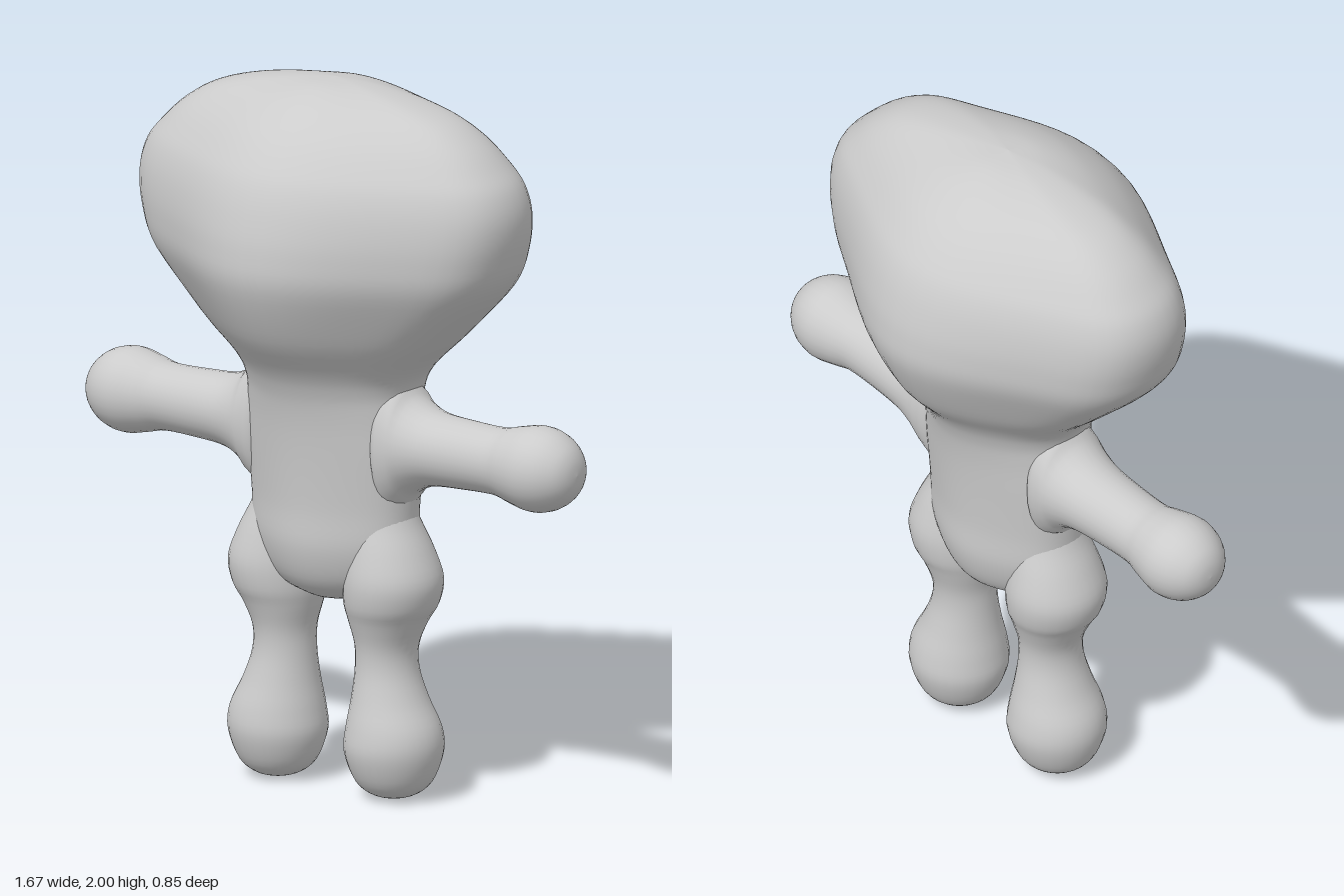
import * as THREE from 'three';

const material = new THREE.MeshStandardMaterial({ color: 0xcccccc });

// Smooth closed loft along +y. Sections: [y, centreX, radiusX, radiusZ].
// pinch(y) draws the diagonals of a section in, giving a bulge with side lobes.
function loft(name, sections, rows, sides, pinch = () => 0) {
  const axis = new THREE.SplineCurve(sections.map(s => new THREE.Vector2(s[0], s[1])));
  const radii = new THREE.SplineCurve(sections.map(s => new THREE.Vector2(s[2], s[3])));
  const pos = [], index = [];
  for (let j = 0; j <= rows; j++) {
    const c = axis.getPoint(j / rows), r = radii.getPoint(j / rows);
    for (let i = 0; i < sides; i++) {
      const t = (i / sides) * Math.PI * 2;
      const squeeze = 1 - pinch(c.x) * Math.sin(2 * t) ** 2;
      pos.push(c.y + Math.max(r.x, 0) * Math.cos(t), c.x, Math.max(r.y, 0) * Math.sin(t) * squeeze);
      if (j < rows) {
        const a = j * sides + i, b = j * sides + (i + 1) % sides;
        index.push(a, a + sides, b, b, a + sides, b + sides);
      }
    }
  }
  const geometry = new THREE.BufferGeometry();
  geometry.setAttribute('position', new THREE.Float32BufferAttribute(pos, 3));
  geometry.setIndex(index);
  geometry.computeVertexNormals();
  const mesh = new THREE.Mesh(geometry, material);
  mesh.name = name;
  return mesh;
}

export function createModel() {
  const model = new THREE.Group();
  model.name = 'blobFigure';

  // Torso flowing into the wide head
  const body = [
    [0.53, 0, 0, 0], [0.55, 0, 0.10, 0.075], [0.60, 0, 0.20, 0.14], [0.70, 0, 0.25, 0.175],
    [0.82, 0, 0.26, 0.178], [0.97, 0, 0.27, 0.19], [1.08, 0, 0.265, 0.205], [1.155, 0, 0.265, 0.225],
    [1.22, 0, 0.30, 0.26], [1.325, 0, 0.41, 0.345], [1.475, 0, 0.555, 0.415], [1.58, 0, 0.603, 0.42],
    [1.68, 0, 0.618, 0.40], [1.76, 0, 0.598, 0.37], [1.82, 0, 0.55, 0.33], [1.88, 0, 0.485, 0.275],
    [1.93, 0, 0.40, 0.21], [1.965, 0, 0.28, 0.15], [1.99, 0, 0.13, 0.08], [2.0, 0, 0, 0],
  ];
  const pinch = y => 0.08 + 0.12 * THREE.MathUtils.smoothstep(y, 1.15, 1.45);
  model.add(loft('torsoAndHead', body, 95, 64, pinch));

  for (const [side, s] of [['left', 1], ['right', -1]]) {
    // Leg: rounded foot, slim ankle, bulging hip
    const leg = [
      [0, 0.20, 0, 0], [0.012, 0.20, 0.06, 0.06], [0.05, 0.20, 0.108, 0.106], [0.13, 0.20, 0.138, 0.135],
      [0.20, 0.20, 0.133, 0.13], [0.28, 0.187, 0.106, 0.108], [0.36, 0.177, 0.087, 0.092],
      [0.43, 0.176, 0.086, 0.094], [0.50, 0.182, 0.11, 0.115], [0.55, 0.192, 0.13, 0.135],
      [0.62, 0.198, 0.136, 0.142], [0.70, 0.188, 0.117, 0.125], [0.78, 0.17, 0.094, 0.10],
      [0.88, 0.15, 0.07, 0.07], [0.92, 0.14, 0, 0],
    ].map(([y, x, rx, rz]) => [y, x * s, rx, rz]);
    model.add(loft(side + 'Leg', leg, 56, 28));

    // Arm: flared shoulder, straight limb, ball hand
    const arm = loft(side + 'Arm', [
      [0.15, 0, 0, 0], [0.20, 0, 0.19, 0.11], [0.25, 0, 0.175, 0.122], [0.285, 0, 0.133, 0.118],
      [0.35, 0, 0.104, 0.106], [0.45, 0, 0.096, 0.097], [0.57, 0, 0.094, 0.094], [0.63, 0, 0.107, 0.107],
      [0.70, 0, 0.12, 0.12], [0.76, 0, 0.108, 0.108], [0.805, 0, 0.077, 0.077],
      [0.827, 0, 0.04, 0.04], [0.833, 0, 0, 0],
    ], 48, 28);
    arm.rotation.z = -s * Math.PI / 2;
    arm.position.y = 1.005;
    model.add(arm);
  }
  return model;
}
